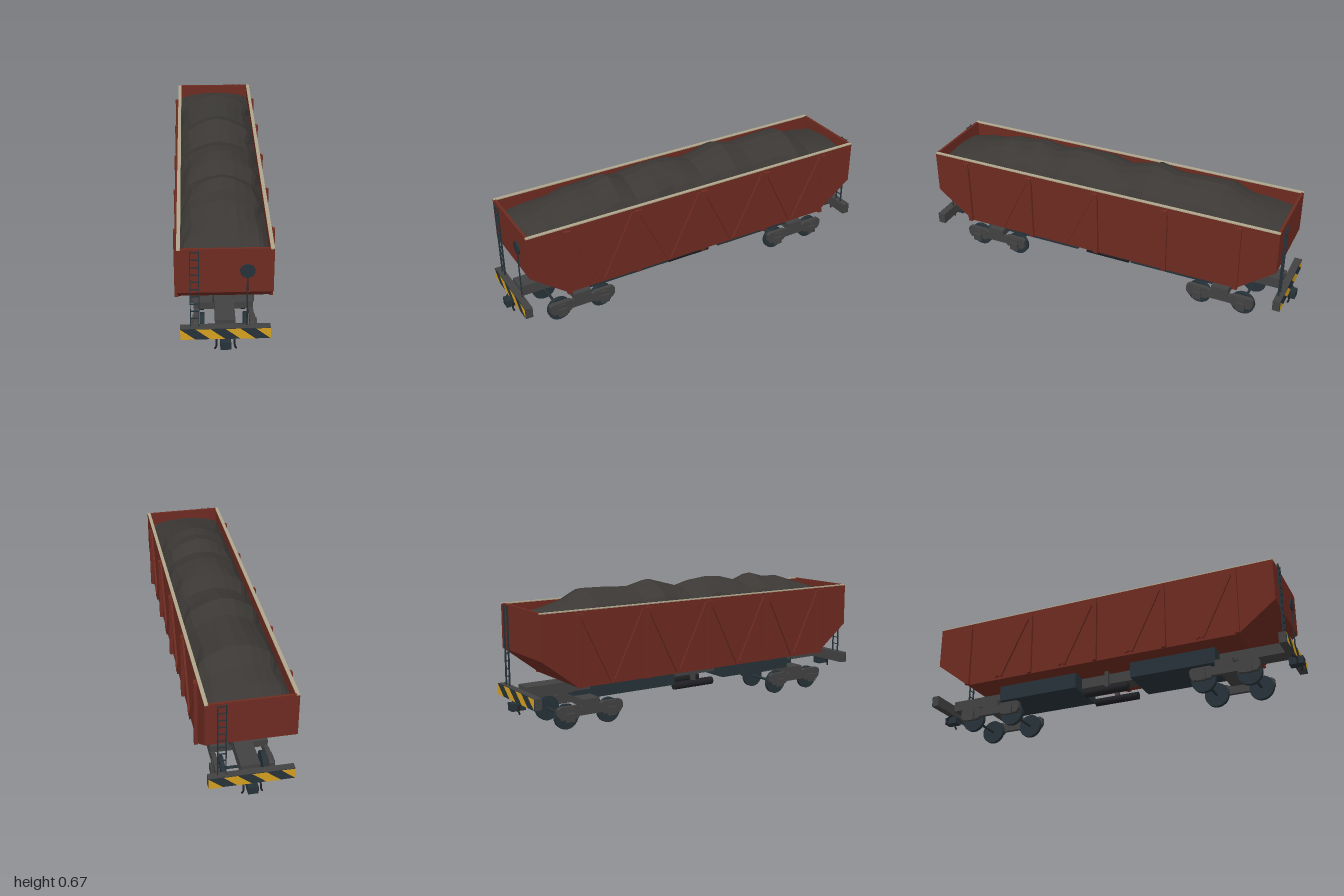
import * as THREE from 'three';

const mat = (color, extra = {}) => new THREE.MeshStandardMaterial({ color, ...extra });
const red = mat(0x6e2b21), grey = mat(0x424242), teal = mat(0x263238), yellow = mat(0xd4a01f);
const cream = mat(0xb0a68c), black = mat(0x202024);
const coal = mat(0x3b3835, { flatShading: true, side: THREE.DoubleSide });

function add(parent, name, geo, material, x = 0, y = 0, z = 0) {
  const m = new THREE.Mesh(geo, material);
  m.name = name;
  m.position.set(x, y, z);
  parent.add(m);
  return m;
}
// Box given by its limits on each axis
function box(parent, name, material, x0, x1, y0, y1, z0, z1) {
  return add(parent, name, new THREE.BoxGeometry(x1 - x0, y1 - y0, z1 - z0), material,
    (x0 + x1) / 2, (y0 + y1) / 2, (z0 + z1) / 2);
}
const cylX = (r, len, n = 18) => new THREE.CylinderGeometry(r, r, len, n).rotateZ(Math.PI / 2);
const cylZ = (r, len, n = 18) => new THREE.CylinderGeometry(r, r, len, n).rotateX(Math.PI / 2);
const polygon = pts => new THREE.Shape(pts.map(p => new THREE.Vector2(...p)));

// Tub with sloped ends, open top, rim strips and side trusses
function makeBody() {
  const g = new THREE.Group();
  g.name = 'body';
  const hull = polygon([[-0.745, 0.22], [0.745, 0.22], [0.935, 0.365], [0.935, 0.5], [-0.935, 0.5], [-0.935, 0.365]]);
  const geo = new THREE.ExtrudeGeometry(hull, { depth: 0.42, bevelEnabled: false });
  geo.translate(0, 0, -0.21).rotateY(-Math.PI / 2);
  add(g, 'hull', geo, red);
  for (const s of [-1, 1]) {
    add(g, 'sideWall', new THREE.BoxGeometry(0.015, 0.08, 1.87), red, s * 0.2025, 0.54, 0);
    add(g, 'rim', new THREE.BoxGeometry(0.017, 0.005, 1.87), cream, s * 0.2015, 0.5825, 0);
    add(g, 'endWall', new THREE.BoxGeometry(0.39, 0.085, 0.012), red, 0, 0.5425, s * 0.929);
    for (let i = -2; i <= 2; i++)
      add(g, 'sidePost', new THREE.BoxGeometry(0.018, 0.348, 0.022), red, s * 0.217, 0.395, i * 0.372);
    for (let bay = 0; bay < 4; bay++) {
      const mid = (bay - 1.5) * 0.372;
      for (const d of [-1, 1]) {
        const brace = add(g, 'diagonalBrace', new THREE.BoxGeometry(0.012, 0.365, 0.02), red,
          s * 0.214, 0.398, mid + d * 0.09);
        brace.rotation.x = d * Math.atan2(0.16, 0.325);
      }
    }
  }
  return g;
}

// Heaped load: one cross-section scaled by the ridge height along the length
function makeLoad() {
  const ridge = [[-0.922, 0.54], [-0.8, 0.575], [-0.7, 0.605], [-0.61, 0.655], [-0.5, 0.653], [-0.34, 0.645],
    [-0.23, 0.674], [-0.14, 0.65], [-0.05, 0.626], [0.05, 0.655], [0.13, 0.665], [0.22, 0.658],
    [0.33, 0.63], [0.42, 0.665], [0.51, 0.641], [0.6, 0.64], [0.7, 0.61], [0.8, 0.58], [0.922, 0.54]];
  const half = [[0.195, 0.12], [0.165, 0.45], [0.148, 0.6], [0.105, 0.78], [0.06, 0.92]];
  const section = [...half.map(([x, h]) => [-x, h]), [0, 1], ...[...half].reverse()];
  const pos = [], idx = [], n = section.length;
  ridge.forEach(([z, top], i) => section.forEach(([x, h], j) => {
    const edge = j === 0 || j === n - 1;
    const wobble = edge ? 1 : 1 + 0.07 * Math.sin(i * 2.3 + (x > 0 ? 1 : 0));
    pos.push(Math.max(-0.195, Math.min(0.195, x * wobble)), 0.5 + (top - 0.5) * h, z);
    if (i < ridge.length - 1 && j < n - 1) {
      const a = i * n + j, b = a + n;
      idx.push(a, b, a + 1, b, b + 1, a + 1);
    }
  }));
  const geo = new THREE.BufferGeometry();
  geo.setAttribute('position', new THREE.Float32BufferAttribute(pos, 3));
  geo.setIndex(idx);
  geo.computeVertexNormals();
  const m = new THREE.Mesh(geo, coal);
  m.name = 'load';
  return m;
}

// Two-axle bogie centred on its own z = 0
function makeBogie() {
  const g = new THREE.Group();
  g.name = 'bogie';
  box(g, 'bolster', grey, -0.14, 0.14, 0.105, 0.142, -0.045, 0.045);
  box(g, 'pivot', teal, -0.05, 0.05, 0.14, 0.165, -0.045, 0.045);
  for (const z of [-0.115, 0.115]) {
    add(g, 'axle', cylX(0.007, 0.26, 10), teal, 0, 0.062, z);
    for (const s of [-1, 1]) {
      add(g, 'wheel', cylX(0.062, 0.02, 24), teal, s * 0.1, 0.062, z);
      const frame = polygon([[-0.06, 0.075], [-0.045, 0.055], [0.045, 0.055], [0.06, 0.075],
        [0.06, 0.108], [0.045, 0.118], [-0.045, 0.118], [-0.06, 0.108]]);
      const geo = new THREE.ExtrudeGeometry(frame, { depth: 0.022, bevelEnabled: false });
      geo.translate(0, 0, -0.011).rotateY(-Math.PI / 2);
      add(g, 'axleGuard', geo, grey, s * 0.129, 0, z);
      add(g, 'journalBox', new THREE.BoxGeometry(0.014, 0.042, 0.045), grey, s * 0.147, 0.066, z);
      add(g, 'journalLid', new THREE.BoxGeometry(0.006, 0.02, 0.04), grey, s * 0.143, 0.099, z);
    }
  }
  for (const s of [-1, 1])
    add(g, 'sideFrame', new THREE.BoxGeometry(0.02, 0.045, 0.13), grey, s * 0.129, 0.088, 0);
  return g;
}

// End equipment: striped beam, coupler, hoses and ladder, facing +z
function makeEnd() {
  const g = new THREE.Group();
  g.name = 'end';
  box(g, 'endBeam', grey, -0.2, 0.2, 0.14, 0.195, 0.932, 0.968);
  box(g, 'beamPlate', teal, -0.2, 0.2, 0.14, 0.195, 0.968, 0.97);
  const w = 0.2 / 3, clamp = x => Math.max(-0.2, Math.min(0.2, x));
  for (let i = 0; i < 4; i++) {
    const a = -0.2 - w + i * 2 * w;
    const corners = [[a, 0.195], [a + w, 0.14], [a + 2 * w, 0.14], [a + w, 0.195]].map(([x, y]) => [clamp(x), y]);
    const unique = corners.filter((p, k) => !corners.slice(0, k).some(q => q[0] === p[0] && q[1] === p[1]));
    add(g, 'warningStripe', new THREE.ShapeGeometry(polygon(unique)), yellow, 0, 0, 0.971);
  }
  box(g, 'coupler', teal, -0.024, 0.024, 0.103, 0.14, 0.93, 1);
  for (const s of [-1, 1]) {
    const path = new THREE.CatmullRomCurve3([
      new THREE.Vector3(s * 0.04, 0.142, 0.95), new THREE.Vector3(s * 0.04, 0.13, 0.972),
      new THREE.Vector3(s * 0.041, 0.108, 0.976), new THREE.Vector3(s * 0.047, 0.091, 0.972)]);
    add(g, 'brakeHose', new THREE.TubeGeometry(path, 10, 0.0045, 8), black);
    box(g, 'ladderRail', teal, -0.135 + s * 0.019 - 0.002, -0.135 + s * 0.019 + 0.002, 0.195, 0.582, 0.942, 0.95);
  }
  for (let i = 0; i < 10; i++)
    add(g, 'ladderRung', new THREE.BoxGeometry(0.038, 0.004, 0.005), teal, -0.135, 0.24 + i * 0.0333 * 1.13 - 0.002, 0.946);
  return g;
}

export function createModel() {
  const model = new THREE.Group();
  model.name = 'hopperWagon';
  model.add(makeBody(), makeLoad());

  // Underframe, discharge chutes and brake gear
  box(model, 'centreSill', grey, -0.045, 0.045, 0.16, 0.215, -0.932, 0.932);
  for (const s of [-1, 1]) {
    add(model, 'dischargeChute', new THREE.BoxGeometry(0.24, 0.082, 0.445), teal, 0, 0.18, s * 0.375);
    add(model, 'brakeReservoir', cylZ(0.02, 0.24), black, s * 0.065, 0.118, 0);
    add(model, 'reservoirHanger', new THREE.BoxGeometry(0.02, 0.09, 0.02), grey, s * 0.065, 0.175, 0);
    const bogie = makeBogie();
    bogie.position.z = s * 0.645;
    model.add(bogie);
    const end = makeEnd();
    if (s < 0) end.rotation.y = Math.PI;
    model.add(end);
  }

  // Hand brake on the front end only
  add(model, 'brakeRod', new THREE.CylinderGeometry(0.0035, 0.0035, 0.27, 8), teal, 0.095, 0.33, 0.942);
  add(model, 'brakeWheel', cylZ(0.033, 0.008, 24), teal, 0.095, 0.478, 0.943);
  return model;
}
